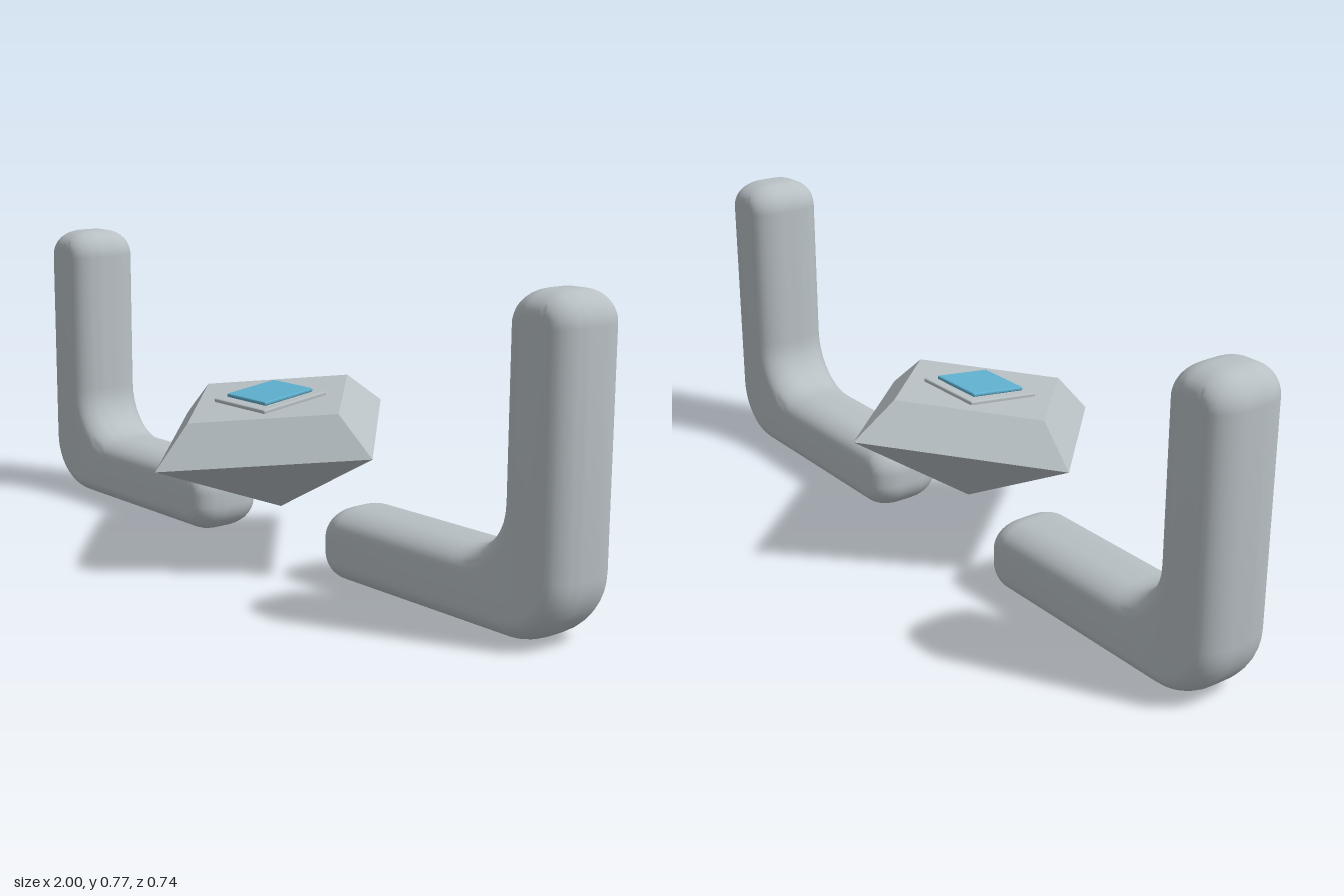
import * as THREE from 'three';
import { toCreasedNormals } from 'three/addons/utils/BufferGeometryUtils.js';
import { RoundedBoxGeometry } from 'three/addons/geometries/RoundedBoxGeometry.js';

const grey = new THREE.MeshStandardMaterial({ color: 0xb8c0c4 });
grey.name = 'pale grey';
const blue = new THREE.MeshStandardMaterial({ color: 0x5fb0cf });
blue.name = 'screen blue';

function addMesh(parent, name, geometry, material) {
  const mesh = new THREE.Mesh(geometry, material);
  mesh.name = name;
  parent.add(mesh);
  return mesh;
}

// L-shaped outline, drawn inset so that the bevel swells it to full size
function armGeometry(side) {
  const b = 0.05;
  const corners = [ // x, y, corner radius, going round the outline
    [1 - b, b, 0.11], [1 - b, 0.773 - b, 0.025], [0.82 + b, 0.773 - b, 0.025],
    [0.82 + b, 0.182 - b, 0.18], [0.232 + b, 0.182 - b, 0.025], [0.232 + b, b, 0.025],
  ].map(([x, y, r]) => ({ p: new THREE.Vector2(x * side, y), r }));
  const shape = new THREE.Shape();
  corners.forEach(({ p, r }, i) => {
    const prev = corners[(i + 5) % 6].p, next = corners[(i + 1) % 6].p;
    const toPrev = prev.clone().sub(p).normalize(), toNext = next.clone().sub(p).normalize();
    const start = p.clone().addScaledVector(toPrev, r);
    const end = p.clone().addScaledVector(toNext, r);
    const k = 0.4477; // circular-arc handles
    const c1 = p.clone().addScaledVector(toPrev, r * k);
    const c2 = p.clone().addScaledVector(toNext, r * k);
    if (i === 0) shape.moveTo(start.x, start.y);
    else shape.lineTo(start.x, start.y);
    shape.bezierCurveTo(c1.x, c1.y, c2.x, c2.y, end.x, end.y);
  });
  shape.closePath();
  const geo = new THREE.ExtrudeGeometry(shape, {
    depth: 0.044, bevelThickness: 0.08, bevelSize: b, bevelSegments: 8, curveSegments: 10,
  });
  geo.translate(0, 0, -0.045 - 0.022);
  return toCreasedNormals(geo, 0.7);
}

export function createModel() {
  const model = new THREE.Group();
  model.name = 'model';

  // Bracket arms either side
  addMesh(model, 'leftArm', armGeometry(1), grey);
  addMesh(model, 'rightArm', armGeometry(-1), grey);

  // Faceted body, tipped towards the front
  const body = new THREE.Group();
  body.name = 'body';
  body.position.y = 0.315;
  body.rotation.x = 0.121;
  model.add(body);

  const crown = new THREE.CylinderGeometry(0.262, 0.372, 0.095, 4, 1, true).toNonIndexed();
  crown.computeVertexNormals();
  addMesh(body, 'crown', crown, grey).position.y = 0.0475;

  const lid = new THREE.CircleGeometry(0.262, 4).rotateX(-Math.PI / 2);
  addMesh(body, 'lid', lid, grey).position.y = 0.095;

  const point = new THREE.ConeGeometry(0.372, 0.195, 4, 1, true).rotateX(Math.PI).toNonIndexed();
  point.computeVertexNormals();
  addMesh(body, 'lowerPoint', point, grey).position.y = -0.0975;

  // Raised plate and blue panel
  const plate = addMesh(body, 'panelFrame', new RoundedBoxGeometry(0.204, 0.012, 0.204, 3, 0.004), grey);
  plate.position.y = 0.098;
  const panel = addMesh(body, 'panel', new RoundedBoxGeometry(0.156, 0.0098, 0.156, 3, 0.004), blue);
  panel.position.y = 0.11;

  return model;
}
